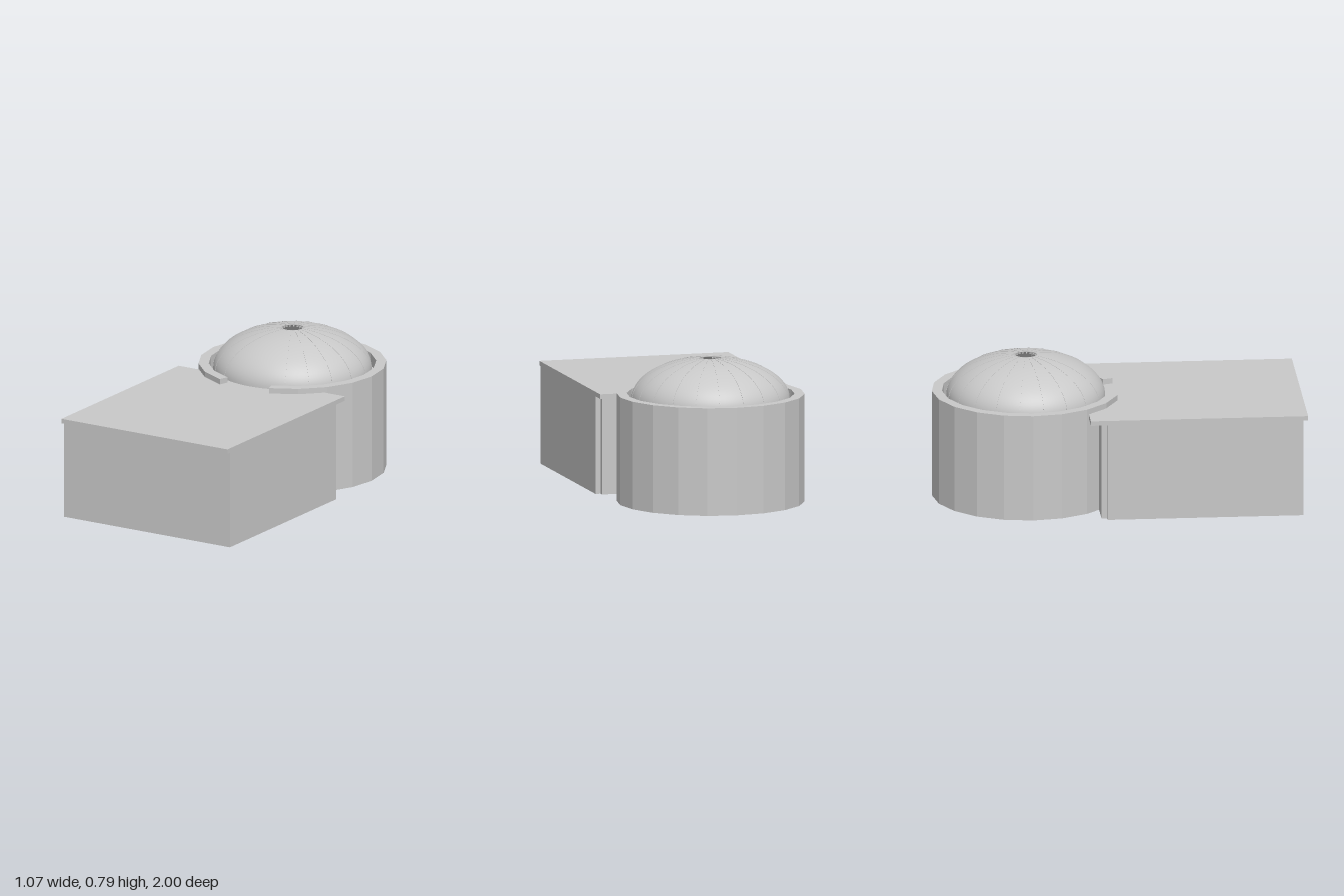
import * as THREE from 'three';

export function createModel() {
  const model = new THREE.Group();
  const stone = new THREE.MeshStandardMaterial({ color: 0xc8c8c8, side: THREE.DoubleSide });
  stone.name = 'paleStone';
  const CZ = -0.49;               // centre of the round hall
  const STEP = Math.PI / 10;      // the drum has twenty facets, two left open

  function add(name, geometry, x = 0, y = 0, z = 0, parent = model) {
    const mesh = new THREE.Mesh(geometry, stone);
    mesh.name = name;
    mesh.position.set(x, y, z);
    parent.add(mesh);
    return mesh;
  }
  // Box given by its limits
  function box(name, x0, x1, y0, y1, z0, z1, parent = model) {
    return add(name, new THREE.BoxGeometry(x1 - x0, y1 - y0, z1 - z0),
      (x0 + x1) / 2, (y0 + y1) / 2, (z0 + z1) / 2, parent);
  }
  // Column with base, shaft and capital
  function column(name, x, z, r, height, parent = model) {
    const pts = [[0, 0], [1.7, 0], [1.7, 0.03], [1.25, 0.05], [1, 0.06], [0.9, 0.9],
      [1.2, 0.92], [1.6, 0.96], [1.6, 1], [0, 1]]
      .map(([a, b]) => new THREE.Vector2(a * r, b * height));
    return add(name, new THREE.LatheGeometry(pts, 16), x, 0.008, z, parent);
  }
  // Flat arched frame standing in the xy plane
  function archFrame(halfWidth, spring, band, depth) {
    const s = new THREE.Shape();
    const inner = halfWidth - band;
    s.moveTo(halfWidth, 0);
    s.lineTo(halfWidth, spring);
    s.absarc(0, spring, halfWidth, 0, Math.PI, false);
    s.lineTo(-halfWidth, 0);
    s.lineTo(-inner, 0);
    s.lineTo(-inner, spring);
    s.absarc(0, spring, inner, Math.PI, 0, true);
    s.lineTo(inner, 0);
    return new THREE.ExtrudeGeometry(s, { depth, bevelEnabled: false, curveSegments: 16 });
  }

  // Rectangular hall
  box('hallRoof', -0.533, 0.533, 0.545, 0.57, -0.18, 1.0);
  box('frontWall', -0.533, 0.533, 0.01, 0.545, 0.935, 0.975);
  for (const s of [-1, 1]) {
    const wall = (name, a, b, ...rest) =>
      box(name, Math.min(a * s, b * s), Math.max(a * s, b * s), ...rest);
    wall('sideWall', 0.493, 0.533, 0.01, 0.545, -0.09, 0.935);
    wall('backWall', 0.3, 0.505, 0.01, 0.545, -0.12, -0.08);

    // Framed niches on the inside of the side walls
    for (const z of [0.84, 0.64, 0.43, 0.24, 0.04]) {
      for (const d of [-0.03, 0.03]) {
        wall('nicheJamb', 0.48, 0.495, 0.15, 0.32, z + d - 0.006, z + d + 0.006);
      }
      wall('nicheSill', 0.475, 0.495, 0.14, 0.152, z - 0.042, z + 0.042);
      wall('nicheHead', 0.475, 0.495, 0.318, 0.33, z - 0.042, z + 0.042);
    }
  }

  // Arched door surround on the inside of the front wall
  add('doorSurround', archFrame(0.125, 0.19, 0.018, 0.012), 0, 0.01, 0.925);
  add('doorInnerSurround', archFrame(0.098, 0.19, 0.01, 0.008), 0, 0.01, 0.928);

  // Two rows of columns joined by cross arches
  for (const z of [0.74, 0.535, 0.335, 0.13]) {
    for (const s of [-1, 1]) column('hallColumn', s * 0.26, z, 0.023, 0.36);
    const arch = new THREE.TorusGeometry(0.26, 0.013, 8, 24, Math.PI);
    arch.scale(1, 0.6, 1);
    add('hallArch', arch, 0, 0.368, z);
  }

  // Faceted drum, open towards the hall
  const ring = new THREE.Shape();
  const corner = (r, i) => new THREE.Vector2(Math.sin(i * STEP) * r, -Math.cos(i * STEP) * r);
  const outline = [];
  for (let i = 1; i <= 19; i++) outline.push(corner(0.51, i));
  for (let i = 19; i >= 1; i--) outline.push(corner(0.455, i));
  ring.setFromPoints(outline);
  const drum = new THREE.ExtrudeGeometry(ring, { depth: 0.59, bevelEnabled: false });
  drum.rotateX(-Math.PI / 2);
  add('drumWall', drum, 0, 0.01, CZ);

  // Dome with a round opening at the top
  const domePoint = (t, grow = 0) =>
    new THREE.Vector2(Math.cos(t) * (0.43 + grow), 0.567 + Math.sin(t) * (0.23 + grow));
  const T = Math.acos(0.06 / 0.43);
  const profile = [];
  for (let i = 0; i <= 20; i++) profile.push(domePoint(T * i / 20));
  add('dome', new THREE.LatheGeometry(profile, 64), 0, 0, CZ);
  add('domeOpeningRim', new THREE.TorusGeometry(0.061, 0.004, 6, 32).rotateX(Math.PI / 2), 0, 0.793, CZ);

  // Ring carrying the dome
  const band = [[0.43, 0.567], [0.43, 0.535], [0.4, 0.535], [0.4, 0.567], [0.43, 0.567]]
    .map(([r, y]) => new THREE.Vector2(r, y));
  add('domeRing', new THREE.LatheGeometry(band, 64), 0, 0, CZ);

  // Dome ribs, drum columns and wall arches, one set per facet
  for (let i = 1; i < 19; i++) {
    const bay = new THREE.Group();
    bay.name = 'drumBay';
    bay.position.z = CZ;
    bay.rotation.y = (i + 0.5) * STEP;
    model.add(bay);

    const rib = new THREE.Shape();
    const edge = [];
    for (let k = 0; k <= 16; k++) edge.push(domePoint(T * k / 16, 0.0015));
    for (let k = 16; k >= 0; k--) edge.push(domePoint(T * k / 16, -0.014));
    rib.setFromPoints(edge);
    const ribGeometry = new THREE.ExtrudeGeometry(rib, { depth: 0.006, bevelEnabled: false });
    ribGeometry.translate(0, 0, -0.003);
    ribGeometry.rotateY(-Math.PI / 2);
    add('domeRib', ribGeometry, 0, 0, 0, bay);

    column('drumColumn', 0, 0.418, 0.013, 0.4, bay);
    box('columnBracket', -0.02, 0.02, 0.408, 0.535, 0.41, 0.45, bay);
    if (i % 3 === 2) add('wallArch', archFrame(0.06, 0.24, 0.01, 0.012), 0, 0.01, 0.436, bay);
  }
  return model;
}
